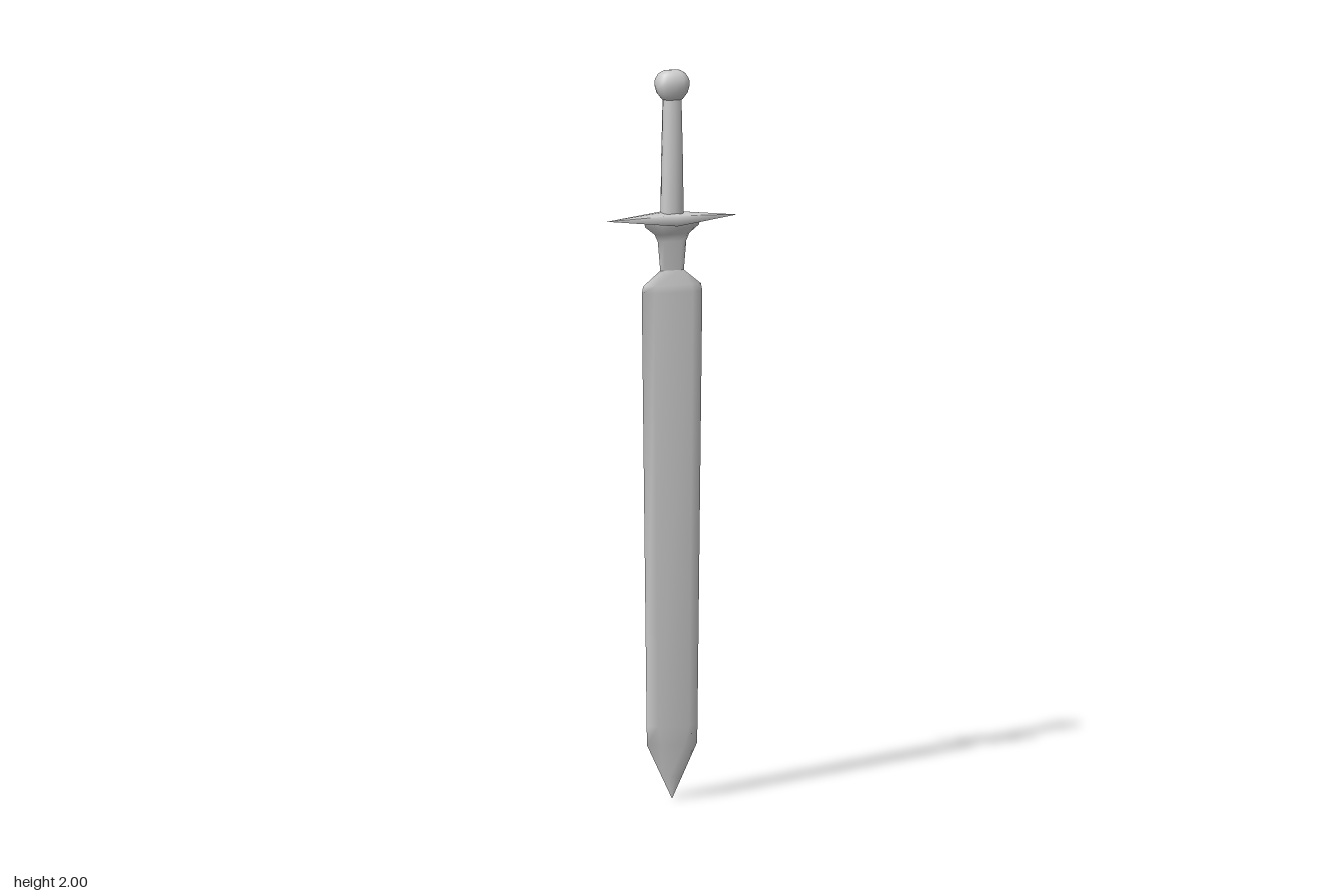
import * as THREE from 'three';

const steel = new THREE.MeshStandardMaterial({ color: 0xcccccc });

// Skins a list of equally sized closed rings of [x, y, z] points
function loft(name, rings) {
  const n = rings[0].length;
  const index = [];
  for (let r = 0; r < rings.length - 1; r++) {
    for (let i = 0; i < n; i++) {
      const a = r * n + i, b = r * n + (i + 1) % n;
      index.push(a, a + n, b, b, a + n, b + n);
    }
  }
  const geometry = new THREE.BufferGeometry();
  geometry.setAttribute('position', new THREE.Float32BufferAttribute(rings.flat(2), 3));
  geometry.setIndex(index);
  geometry.computeVertexNormals();
  const mesh = new THREE.Mesh(geometry, steel);
  mesh.name = name;
  return mesh;
}

// Horizontal rounded ring; a lower power gives squarer corners
function roundRing([y, hx, hz], sides, power = 1, notch = 0) {
  const soften = (v) => Math.sign(v) * Math.abs(v) ** power;
  return Array.from({ length: sides }, (_, i) => {
    const a = (i / sides) * Math.PI * 2;
    const back = Math.abs(Math.sin(a) + 1) < 0.01 ? 1 - notch : 1;
    return [hx * soften(Math.cos(a)), y, hz * soften(Math.sin(a)) * back];
  });
}

// Six-sided blade section: a flat on each face and bevels to sharp edges
function bladeRing([y, hx, flat, hz]) {
  return [[hx, y, 0], [flat, y, hz], [-flat, y, hz], [-hx, y, 0], [-flat, y, -hz], [flat, y, -hz]];
}

export function createModel() {
  const sword = new THREE.Group();
  sword.name = 'sword';

  // Blade from tip to pinched neck: y, half width, half flat, half thickness
  sword.add(loft('blade', [
    [0, 0, 0, 0],
    [0.06, 0.029, 0.009, 0.004],
    [0.15, 0.072, 0.034, 0.01],
    [0.2, 0.073, 0.045, 0.013],
    [1.39, 0.087, 0.055, 0.014],
    [1.41, 0.083, 0.052, 0.012],
    [1.45, 0.034, 0.022, 0.003],
  ].map(bladeRing)));

  // Collar flaring from the neck up into the guard
  sword.add(loft('collar', [
    [1.45, 0.034, 0.022, 0.003],
    [1.53, 0.041, 0.026, 0.008],
    [1.55, 0.05, 0.03, 0.015],
    [1.572, 0.078, 0.04, 0.029],
    [1.59, 0.08, 0.04, 0.03],
  ].map(bladeRing)));

  // Crossguard: pointed at both sides, deepest at the middle
  const middle = [[1.607, 0.046], [1.613, 0], [1.607, -0.046], [1.577, -0.046], [1.573, 0], [1.577, 0.046]];
  const guardRing = (x, s) => middle.map(([y, z]) => [x, 1.593 + (y - 1.593) * s, z * s]);
  sword.add(loft('crossguard', [guardRing(-0.188, 0), guardRing(0, 1), guardRing(0.188, 0)]));

  // Grip, slightly tapered towards the pommel
  sword.add(loft('grip', [
    [1.59, 0.031, 0.029],
    [1.75, 0.029, 0.027],
    [1.94, 0.025, 0.022],
  ].map((p) => roundRing(p, 12, 0.8))));

  // Rounded pommel with a shallow dent at the back
  sword.add(loft('pommel', [
    [1.918, 0, 0],
    [1.92, 0.028, 0.023],
    [1.938, 0.042, 0.031],
    [1.957, 0.047, 0.036],
    [1.975, 0.046, 0.035],
    [1.99, 0.037, 0.027],
    [1.998, 0.024, 0.016],
    [2.0, 0, 0],
  ].map((p) => roundRing(p, 16, 0.75, 0.08))));

  return sword;
}
